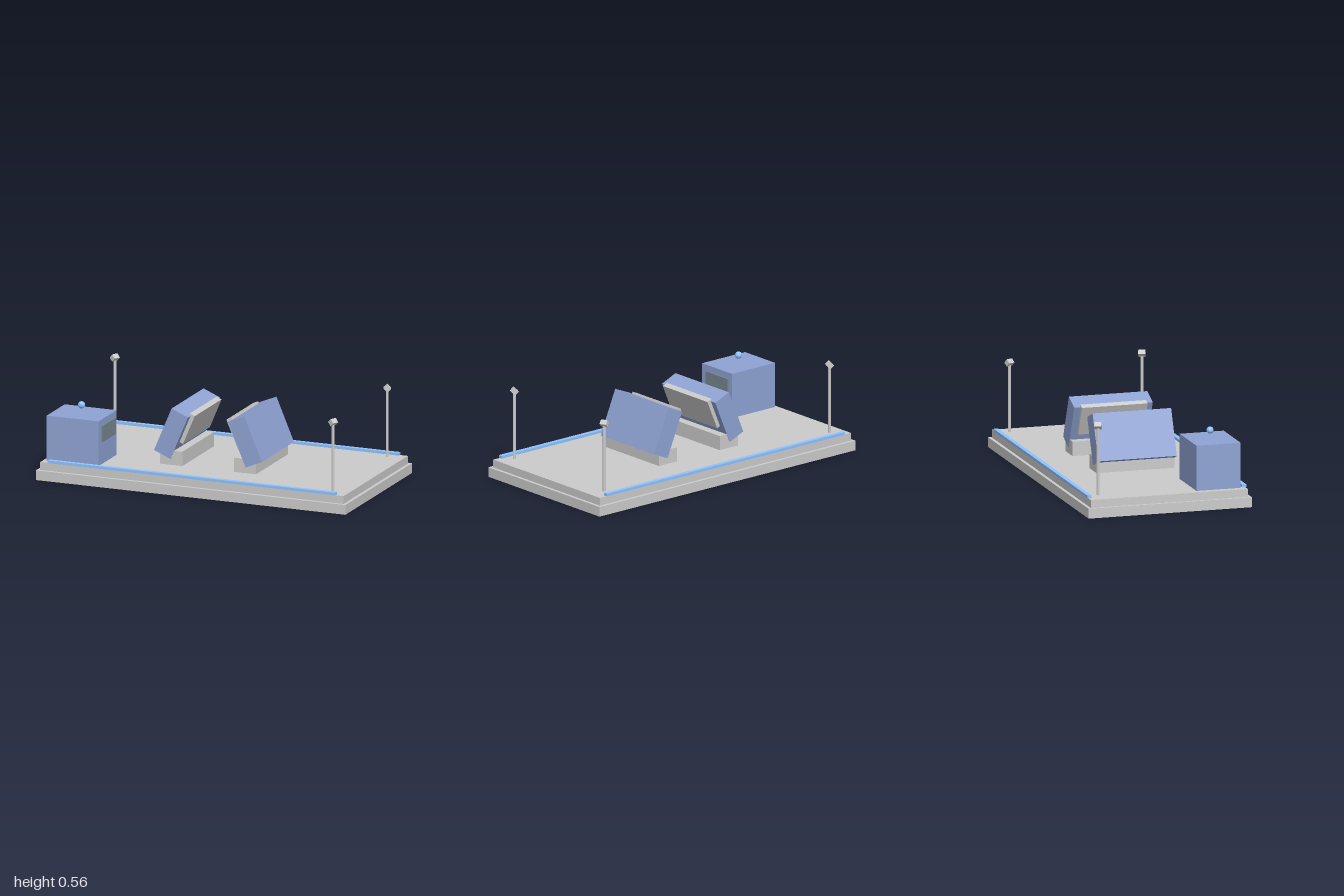
import * as THREE from 'three';

const material = (color) => new THREE.MeshStandardMaterial({ color, flatShading: true });

export function createModel() {
  const model = new THREE.Group();
  const grey = material(0xcccccc);
  const blue = material(0x8fa3d4);
  const lightBlue = material(0x8fc4ff);
  const glass = material(0x788890);

  function add(parent, name, geometry, mat, x, y, z) {
    const mesh = new THREE.Mesh(geometry, mat);
    mesh.name = name;
    mesh.position.set(x, y, z);
    parent.add(mesh);
    return mesh;
  }
  const box = (parent, name, w, h, d, mat, x, y, z) =>
    add(parent, name, new THREE.BoxGeometry(w, h, d), mat, x, y, z);

  // Stepped platform
  box(model, 'base', 2, 0.06, 1.02, grey, 0, 0.03, 0);
  box(model, 'deck', 1.96, 0.048, 0.98, grey, 0, 0.084, 0);

  // Light strips along the front and back edges
  for (const side of [-1, 1]) {
    box(model, 'edgeStrip', 1.86, 0.016, 0.027, lightBlue, 0, 0.117, side * 0.483);
  }

  // Two facing consoles leaning in towards each other
  for (const side of [-1, 1]) {
    box(model, 'pedestal', 0.143, 0.09, 0.486, grey, side * 0.238, 0.151, 0);
    const console = new THREE.Group();
    console.name = 'console';
    console.position.set(side * 0.239, 0.3, 0);
    console.rotation.z = side * 0.4;
    model.add(console);
    box(console, 'consoleBody', 0.115, 0.291, 0.49, blue, 0, 0, 0);
    box(console, 'screen', 0.035, 0.195, 0.41, grey, -side * 0.0645, 0.06, 0);
  }

  // Control booth with window and beacon
  box(model, 'booth', 0.335, 0.276, 0.275, blue, -0.787, 0.25, 0.3145);
  box(model, 'boothWindow', 0.02, 0.1, 0.2, glass, -0.62, 0.3, 0.31);
  add(model, 'beacon', new THREE.SphereGeometry(0.022, 10, 8), lightBlue, -0.787, 0.438, 0.3145);

  // Lamp posts on the three free corners, heads aimed down at the centre
  for (const [sx, sz] of [[-1, -1], [1, -1], [1, 1]]) {
    const x = sx * 0.88, z = sz * 0.413;
    add(model, 'post', new THREE.CylinderGeometry(0.0095, 0.0095, 0.41, 8), grey, x, 0.317, z);
    const head = box(model, 'lampHead', 0.042, 0.032, 0.032, grey, x, 0.535, z);
    head.rotation.set(0.75, Math.atan2(-x, -z), 0, 'YXZ');
  }

  return model;
}
